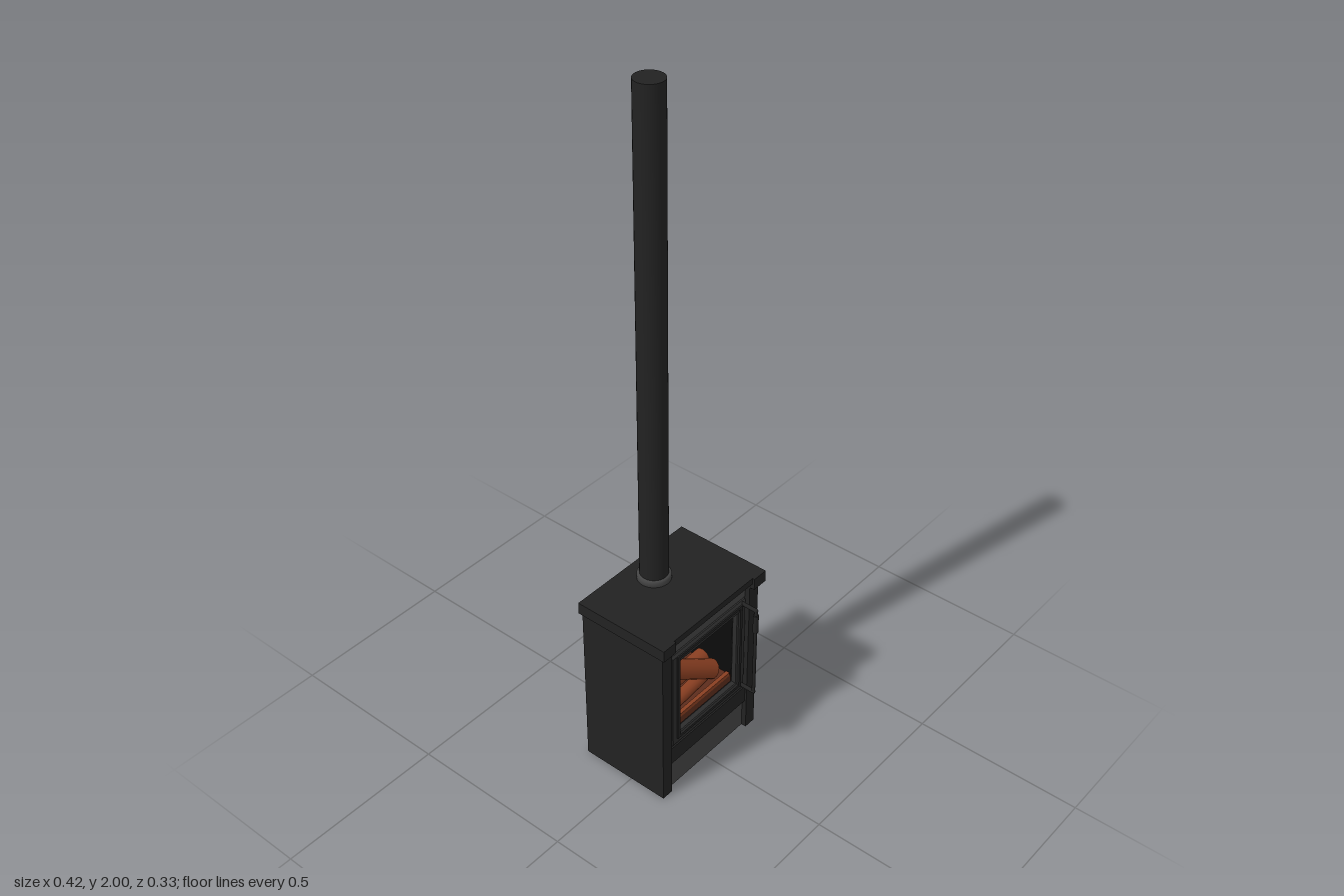
import * as THREE from 'three';

const mat = (color) => new THREE.MeshStandardMaterial({ color, side: THREE.DoubleSide });

export function createModel() {
  const stove = new THREE.Group();
  stove.name = 'woodStove';
  const iron = mat(0x222222), panel = mat(0x444444), soot = mat(0x0c0c0c), trim = mat(0x2c2c2c);
  const wood = mat(0x8a3f22), ember = mat(0x5c2c1c);

  const add = (name, geometry, material) => {
    const mesh = new THREE.Mesh(geometry, material);
    mesh.name = name;
    stove.add(mesh);
    return mesh;
  };
  // box given by its low and high corners
  const box = (name, [x0, y0, z0], [x1, y1, z1], material = iron) => {
    const g = new THREE.BoxGeometry(x1 - x0, y1 - y0, z1 - z0);
    g.translate((x0 + x1) / 2, (y0 + y1) / 2, (z0 + z1) / 2);
    return add(name, g, material);
  };
  // cylinder between two points
  const rod = (name, from, to, radius, material, sides = 16) => {
    const a = new THREE.Vector3(...from), b = new THREE.Vector3(...to);
    const dir = b.clone().sub(a);
    const mesh = add(name, new THREE.CylinderGeometry(radius, radius, dir.length(), sides), material);
    mesh.position.copy(a).add(b).multiplyScalar(0.5);
    mesh.quaternion.setFromUnitVectors(new THREE.Vector3(0, 1, 0), dir.normalize());
    return mesh;
  };
  // rectangular frame extruded forward from z
  const rect = (Type, x, y0, y1) => new Type([[-x, y0], [x, y0], [x, y1], [-x, y1]].map((p) => new THREE.Vector2(...p)));
  const frame = (name, x, y0, y1, width, z, depth, bevel, material) => {
    const shape = rect(THREE.Shape, x - bevel, y0 + bevel, y1 - bevel);
    shape.holes.push(rect(THREE.Path, x - width, y0 + width, y1 - width));
    const g = new THREE.ExtrudeGeometry(shape, {
      depth: depth - bevel, bevelEnabled: bevel > 0, bevelSize: bevel, bevelThickness: bevel, bevelSegments: 1,
    });
    g.translate(0, 0, z);
    return add(name, g, material);
  };

  // cabinet: side walls, back, base and upper block around a hollow firebox
  for (const s of [-1, 1]) {
    const side = s < 0 ? 'right' : 'left';
    const span = (a, b) => (s < 0 ? [-b, -a] : [a, b]);
    const [w0, w1] = span(0.163, 0.2);
    box(side + 'Wall', [w0, 0, -0.163], [w1, 0.53, 0.117]);
    const [t0, t1] = span(0.163, 0.212);
    box(side + 'TopEdge', [t0, 0.524, -0.165], [t1, 0.56, 0.132]);
    const [l0, l1] = span(0.135, 0.163);
    box(side + 'FireboxLining', [l0, 0.16, -0.14], [l1, 0.48, 0.095], soot);
  }
  box('topPlate', [-0.163, 0.54, -0.165], [0.163, 0.56, 0.125]);
  box('backWall', [-0.163, 0, -0.163], [0.163, 0.54, -0.14]);
  box('fireboxBack', [-0.135, 0.16, -0.14], [0.135, 0.48, -0.1], soot);
  box('base', [-0.163, 0, -0.14], [0.163, 0.16, 0.095]);
  box('upperBlock', [-0.163, 0.48, -0.14], [0.163, 0.54, 0.095]);

  // front panels and the ledge beneath the door
  box('upperPanel', [-0.163, 0.485, 0.095], [0.163, 0.54, 0.102], panel);
  box('lowerPanel', [-0.163, 0, 0.095], [0.163, 0.095, 0.102], panel);
  box('ledge', [-0.163, 0.098, 0.095], [0.163, 0.155, 0.111]);

  // door: outer frame with a slimmer rim around the window
  frame('doorFrame', 0.158, 0.158, 0.484, 0.028, 0.092, 0.02, 0.006, trim);
  frame('windowRim', 0.136, 0.18, 0.478, 0.009, 0.1, 0.016, 0, iron);

  // log bed and logs
  box('emberBed', [-0.135, 0.16, -0.1], [0.135, 0.2, 0.08], ember);
  box('logRail', [-0.13, 0.2, 0.068], [0.13, 0.212, 0.08], wood);
  rod('backLog', [-0.12, 0.23, -0.01], [0.12, 0.23, -0.01], 0.025, wood);
  rod('frontLog', [-0.11, 0.218, 0.045], [0.115, 0.218, 0.03], 0.019, wood);
  rod('leaningLog', [-0.035, 0.3, 0.01], [0.1, 0.225, 0.04], 0.029, wood);

  // door handle with a thicker grip
  const hx = 0.143, hz = 0.156;
  for (const y of [0.178, 0.476]) {
    rod('handleArm', [hx, y, 0.105], [hx, y, hz], 0.006, iron, 12);
    add('handleCorner', new THREE.SphereGeometry(0.006, 12, 8), iron).position.set(hx, y, hz);
  }
  rod('handleBar', [hx, 0.178, hz], [hx, 0.476, hz], 0.005, iron, 12);
  rod('handleGrip', [hx, 0.4, hz], [hx, 0.46, hz], 0.008, iron, 16);

  // flue pipe and its collar
  const fz = -0.083;
  const collar = [[0.038, 0.556], [0.048, 0.556], [0.048, 0.573], [0.044, 0.578], [0.038, 0.578]];
  const collarGeo = new THREE.LatheGeometry(collar.map((p) => new THREE.Vector2(...p)), 32);
  add('flueCollar', collarGeo.toNonIndexed(), panel).position.z = fz;
  rod('fluePipe', [0, 0.55, fz], [0, 2, fz], 0.04, iron, 32);

  return stove;
}
